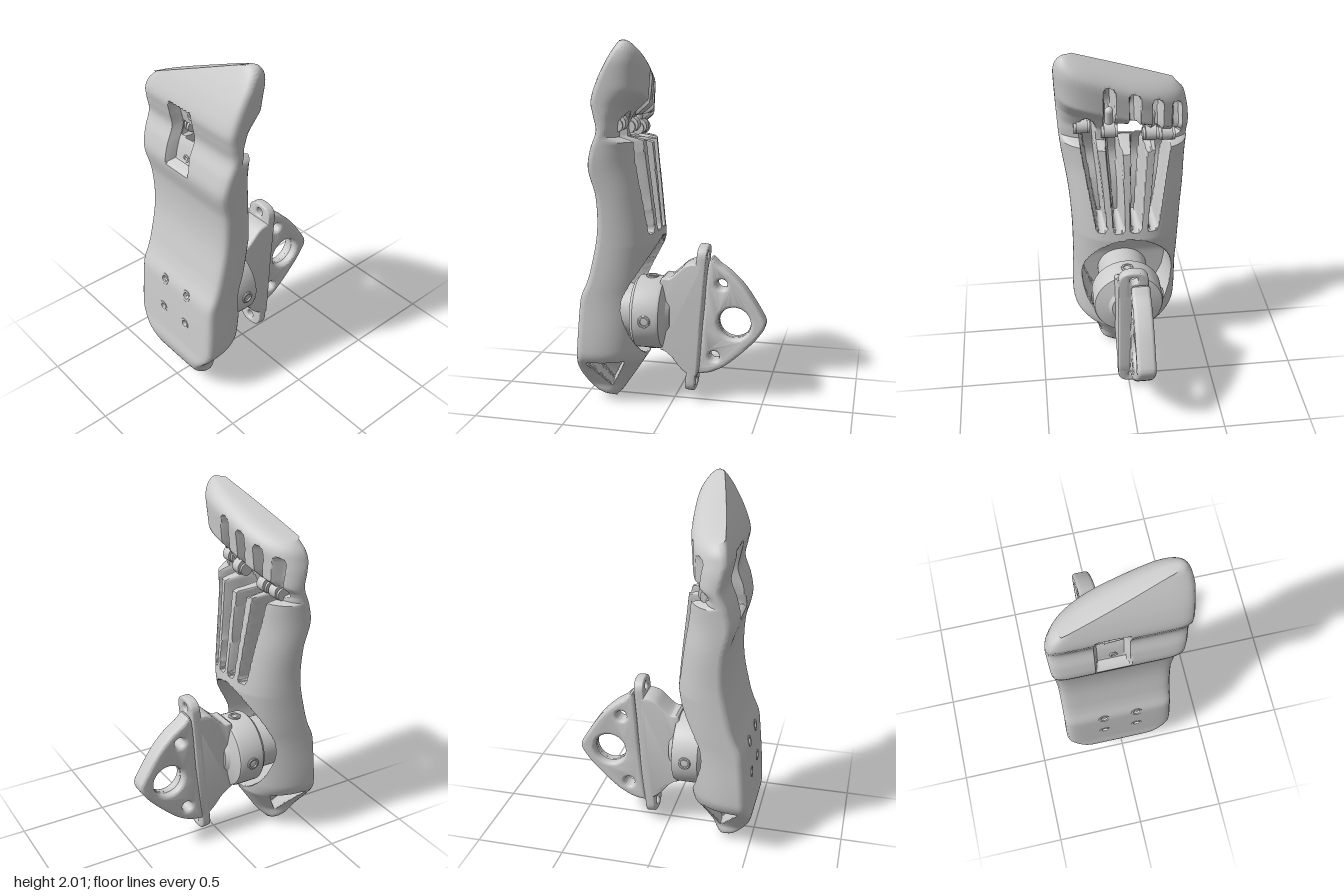
import * as THREE from 'three';
import { toCreasedNormals } from 'three/addons/utils/BufferGeometryUtils.js';

const grey = new THREE.MeshStandardMaterial({ color: 0xcccccc, side: THREE.DoubleSide });
const { clamp, lerp, smoothstep } = THREE.MathUtils;

// Interpolates [position, value] pairs; smooth adds Hermite tangents.
function curve(p, smooth = true) {
  const slope = i => {
    const a = p[Math.max(i - 1, 0)], b = p[Math.min(i + 1, p.length - 1)];
    return (b[1] - a[1]) / (b[0] - a[0]);
  };
  return t => {
    let i = 0;
    while (i < p.length - 2 && t > p[i + 1][0]) i++;
    const h = p[i + 1][0] - p[i][0], u = clamp((t - p[i][0]) / h, 0, 1);
    if (!smooth) return lerp(p[i][1], p[i + 1][1], u);
    const v = u * u * (3 - 2 * u);
    return lerp(p[i][1], p[i + 1][1], v) + h * u * (1 - u) * ((1 - u) * slope(i) - u * slope(i + 1));
  };
}

// Foot outline: sole line, instep line and the two side edges along the height
const TOP = 1.905, SLANT = 0.38;
const sole = curve([[0, .33], [.04, .40], [.1, .465], [.2, .508], [.3, .5], [.6, .475], [.65, .465], [.72, .435], [.8, .41],
  [1, .37], [1.2, .37], [1.35, .402], [1.45, .385], [1.55, .35], [1.63, .362], [1.7, .372], [1.8, .34], [1.9, .29], [2, .23]]);
const instep = curve([[0, .33], [.03, .3], [.15, .22], [.25, .155], [.6, .11], [.93, .07], [1, .075], [1.48, .125],
  [1.495, .215], [1.55, .22], [1.6, .19], [1.66, .11], [1.78, .1], [1.905, .1]], false);
const leftEdge = curve([[0, .05], [.04, .125], [.1, .15], [.2, .21], [.28, .275], [.34, .29], [.6, .285], [.8, .285], [1, .29],
  [1.2, .305], [1.4, .333], [1.6, .352], [1.75, .36], [1.8, .356], [1.85, .342], [1.89, .31], [1.905, .26]]);
const rightEdge = curve([[0, -.08], [.04, -.155], [.1, -.175], [.2, -.245], [.28, -.31], [.34, -.33], [.6, -.33], [1, -.332],
  [1.2, -.345], [1.4, -.357], [1.6, -.362], [1.75, -.362], [1.82, -.35], [1.87, -.33], [1.905, -.28]]);
const slant = Y => SLANT * smoothstep(Y, 1.4, 1.75);

// Positive inside a box or an upright rounded slot
const inBox = (x, y, cx, cy, hw, hh) => Math.min(hw - Math.abs(x - cx), hh - Math.abs(y - cy));
const inSlot = (x, y, cx, y0, y1, r) => r - Math.hypot(x - cx, y - clamp(y, y0, y1));
const screwSpots = [[-.11, .44], [.08, .44], [-.11, .63], [.08, .63]];
const toeGaps = [-.29, -.18, -.055, .08];

// Recesses cut into the instep: ankle bowl, four long slots, gaps between toes
function instepCut(x, y, Y) {
  const u = clamp((Y - .95) / .55, 0, 1);
  let d = (1 - Math.hypot((x + .02) / .265, (y - .6) / .335)) * .26;
  for (let i = 0; i < 4; i++) {
    const cx = -.01 + (i - 1.5) * lerp(.092, .135, u);
    d = Math.max(d, inSlot(x, Y, cx, 1.01, 1.55, lerp(.028, .044, u)));
    d = Math.max(d, inSlot(x, Y, toeGaps[i], 1.56, 1.79, .03));
  }
  d = Math.max(d, inBox(x, y, -.045, 1.535, .1, .07));
  return clamp(d / .016, 0, 1);
}

// Recesses cut into the sole: window and screw pits
function soleCut(x, y) {
  const side = (.088 - Math.abs(x + .045)) / .016, end = (.176 - Math.abs(y - 1.525)) / .024;
  let k = .055 * clamp(Math.min(side, end), 0, 1);
  for (const [sx, sy] of screwSpots) k = Math.max(k, .04 * clamp((.023 - Math.hypot(x - sx, y - sy)) / .01, 0, 1));
  return k;
}

// Foot shell: closed sections stacked from heel to toes
function shellGeometry() {
  const rows = 200, back = 176, front = 66, n = back + front;
  const pos = [], idx = [];
  for (let r = 0; r <= rows; r++) {
    const Y = TOP * r / rows, xl = leftEdge(Y), xr = rightEdge(Y), c = (xl + xr) / 2, w = (xl - xr) / 2;
    const tip = Y > 1.8 ? Math.max(0, 1 - ((Y - 1.8) / (TOP - 1.8)) ** 2) ** .42 : 1;
    const toe = smoothstep(Y, 1.5, 1.66);
    for (let j = 0; j < n; j++) {
      const onBack = j <= back, a = Math.PI * j / back;
      const t = onBack ? Math.sign(Math.cos(a)) * Math.abs(Math.cos(a)) ** .85 : -1 + 2 * (j - back) / front;
      let x = c + w * t;
      const y = Y + slant(Y) * x, F = sole(y);
      // The big toe side is deeper and squarer than the little toe side
      const power = 2.5 + 2.5 * toe * smoothstep(t, -.3, .6);
      const depth = Math.max(0, F - instep(Y)) * tip * lerp(1, .93 + .42 * x, toe), edge = Math.min(.035, depth / 2);
      let z = F - edge;
      if (onBack) {
        z -= (depth - edge) * Math.max(0, 1 - Math.abs(t) ** power) ** .42;
        const floor = F - (Y > 1.6 ? .09 : .06);
        if (z < floor) z = lerp(z, floor, instepCut(x, y, Y));
        // Three-cornered openings in the sides of the heel
        const h = Math.min(.262 - y, (y - .09 - 1.5 * (z - .33)) * .55, (y - .09 + 1.9 * (z - .33)) * .47);
        x = c + (x - c) * (1 - .4 * clamp(h / .018, 0, 1));
      } else {
        z += edge * Math.max(0, 1 - Math.abs(t) ** 12) ** .5 - soleCut(x, y) * tip;
      }
      pos.push(x, y, z);
    }
  }
  // Leave the middle of the window open
  const open = i => inBox(pos[3 * i], pos[3 * i + 1], -.045, 1.535, .074, .045) > 0;
  for (let r = 0; r < rows; r++) for (let j = 0; j < n; j++) {
    const a = r * n + j, b = r * n + (j + 1) % n;
    if (![a, b, a + n, b + n].every(open)) idx.push(a, b, b + n, a, b + n, a + n);
  }
  const g = new THREE.BufferGeometry();
  g.setAttribute('position', new THREE.Float32BufferAttribute(pos, 3));
  g.setIndex(idx);
  return toCreasedNormals(g, .7);
}

// Side profile given as [z, y] points, extruded from x0 to x1
function sideExtrude(points, x0, x1, bevel, holes = []) {
  const s = new THREE.Shape(new THREE.SplineCurve(points.map(([z, y]) => new THREE.Vector2(-z, y))).getPoints(60));
  for (const [z, y, r] of holes) s.holes.push(new THREE.Path().absarc(-z, y, r, 0, Math.PI * 2, true));
  const g = new THREE.ExtrudeGeometry(s, { depth: x1 - x0 - 2 * bevel, bevelSize: bevel, bevelThickness: bevel,
    bevelOffset: -bevel, bevelSegments: 4, curveSegments: 32 });
  return toCreasedNormals(g.rotateY(Math.PI / 2).translate(x0 + bevel, 0, 0), .6);
}

const lathe = pts => toCreasedNormals(new THREE.LatheGeometry(pts.map(p => new THREE.Vector2(...p)), 48), .5);

export function createModel() {
  const root = new THREE.Group();
  const add = (name, geometry, x = 0, y = 0, z = 0) => {
    const m = new THREE.Mesh(geometry, grey);
    m.name = name;
    m.position.set(x, y, z);
    root.add(m);
    return m;
  };

  add('footShell', shellGeometry());

  // Screw sockets in the sole
  const socket = lathe([[0, -.03], [.017, -.03], [.019, 0], [.022, .002], [.032, .002], [.034, -.012]]);
  for (const [x, y] of screwSpots) {
    const tilt = Math.atan2(sole(y + .02) - sole(y - .02), .04);
    add('soleScrew', socket, x, y, sole(y)).rotation.x = Math.PI / 2 + tilt;
  }

  // Small fastening rings inside the window
  for (const y of [1.4, 1.63]) add('windowRing', new THREE.TorusGeometry(.016, .005, 8, 20), -.035, y, sole(y) - .054);

  // Toe joints: a hinge barrel between two lugs, with a link reaching into each toe
  const barrel = new THREE.CylinderGeometry(.042, .042, .06, 24).rotateZ(Math.PI / 2);
  const lug = new THREE.CylinderGeometry(.034, .034, .014, 24).rotateZ(Math.PI / 2);
  const link = new THREE.CapsuleGeometry(.024, .12, 6, 14);
  for (const x of [-.24, -.15, .075, .22]) {
    const y = 1.55 + slant(1.55) * x, z = .205 + Math.abs(x) * .18;
    add('toeHinge', barrel, x, y, z);
    for (const s of [-1, 1]) add('hingeLug', lug, x + s * .037, y - .01, z + .005);
    add('toeLink', link, x, y + .055, z + .005).rotation.x = -.2;
  }

  // Round ankle mount seated in the bowl
  const mount = lathe([[0, -.42], [.15, -.42], [.15, -.22], [.185, -.22], [.205, -.2], [.205, -.07], [.198, -.055],
    [.16, -.045], [.12, -.035], [.1, -.015], [0, -.01]]);
  add('ankleMount', mount, -.012, .5, 0).rotation.x = -Math.PI / 2;

  // Bolts around the mount
  const bolt = lathe([[.035, -.03], [.035, .006], [.03, .01], [.022, .01], [.02, -.01], [0, -.01]]);
  for (let i = 0; i < 4; i++) {
    const a = i * Math.PI / 2;
    add('mountBolt', bolt, -.012 + Math.cos(a) * .203, .5 + Math.sin(a) * .203, .13).rotation.z = a - Math.PI / 2;
  }

  // Ankle body
  add('ankleBody', sideExtrude([[.07, .3], [.03, .287], [0, .255], [-.04, .205], [-.08, .172], [-.12, .16], [-.14, .18],
    [-.16, .48], [-.18, .78], [-.16, .805], [-.11, .808], [-.065, .792], [-.025, .755], [.02, .718], [.07, .7], [.075, .5], [.07, .3]],
  -.095, .07, .012));

  // Slanted mounting bar with a hole in each rounded end
  const bar = new THREE.Shape(), w = .0825, h = .425, r = .07;
  bar.moveTo(-w, -h + r).quadraticCurveTo(-w, -h, 0, -h).quadraticCurveTo(w, -h, w, -h + r);
  bar.lineTo(w, h - r).quadraticCurveTo(w, h, 0, h).quadraticCurveTo(-w, h, -w, h - r);
  for (const s of [-1, 1]) bar.holes.push(new THREE.Path().absarc(0, s * (h - .055), .024, 0, Math.PI * 2, true));
  const barGeometry = new THREE.ExtrudeGeometry(bar, { depth: .037, bevelSize: .008, bevelThickness: .008, bevelOffset: -.008, bevelSegments: 3 });
  add('mountingBar', toCreasedNormals(barGeometry.translate(0, 0, -.0185), .6), -.0125, .48, -.13).rotation.x = -.085;

  // Pierced bracket plate behind the bar
  add('bracketPlate', sideExtrude([[-.12, .15], [-.17, .155], [-.22, .17], [-.3, .218], [-.42, .33], [-.485, .41], [-.507, .46],
    [-.49, .51], [-.4, .65], [-.32, .735], [-.25, .785], [-.19, .806], [-.16, .48], [-.12, .15]], -.1, .005, .02,
  [[-.335, .46, .092], [-.263, .68, .03], [-.223, .26, .03]]));
  add('bracketRing', new THREE.TorusGeometry(.1, .012, 12, 40).rotateY(Math.PI / 2), -.047, .46, -.335);

  return root;
}
